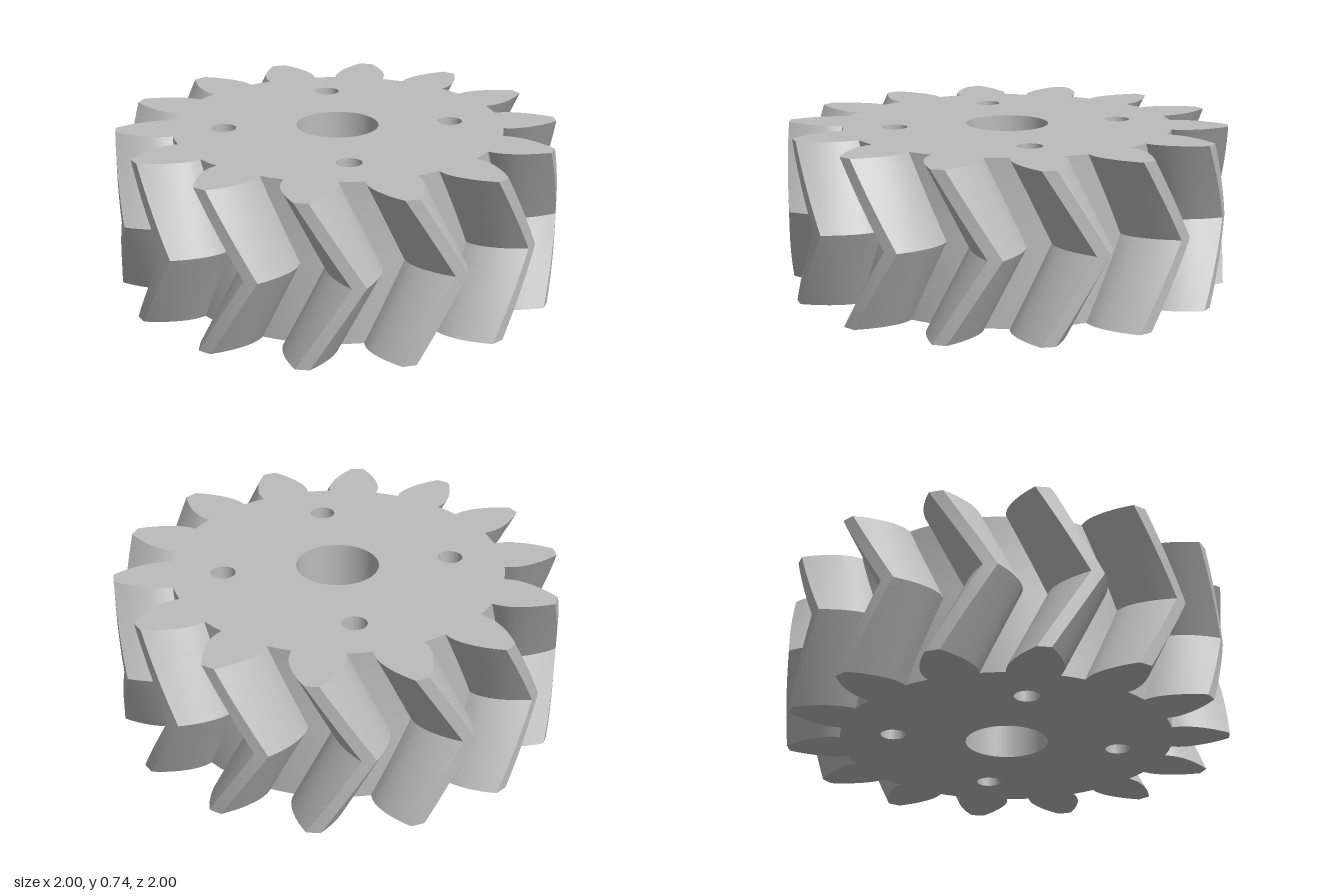
import * as THREE from 'three';
import { toCreasedNormals } from 'three/addons/utils/BufferGeometryUtils.js';

const TEETH = 14, HEIGHT = 0.735;
const ROOT = 0.75, BASE = 0.785, TIP = 1;
const DEG = Math.PI / 180;
const PITCH = 2 * Math.PI / TEETH;
const HALF_BASE = 8.7 * DEG;   // half the tooth angle at the base circle
const PHASE = 0.4 * DEG;       // rotation of the end faces
const TWIST = 13.4 * DEG;      // helix rotation from an end face to mid-height

// half the tooth angle at radius r, along an involute flank
function halfAngle(r) {
  if (r <= BASE) return HALF_BASE;
  const a = Math.acos(BASE / r);
  return HALF_BASE - (Math.tan(a) - a);
}

function gearShape() {
  const points = [];
  const add = (r, t) => points.push(new THREE.Vector2(r * Math.sin(t), -r * Math.cos(t)));
  const radii = [ROOT, BASE];
  for (let i = 1; i <= 8; i++) radii.push(BASE + (TIP - BASE) * i / 8);
  for (let k = 0; k < TEETH; k++) {
    const c = PHASE + k * PITCH;
    radii.forEach(r => add(r, c - halfAngle(r)));              // rising flank
    add(TIP, c);                                               // tip land
    [...radii].reverse().forEach(r => add(r, c + halfAngle(r))); // falling flank
    add(ROOT, c + PITCH / 2);                                  // root land
  }
  const shape = new THREE.Shape(points);

  // shaft bore and four through holes
  const hole = (x, y, r) => shape.holes.push(new THREE.Path().absarc(x, y, r, 0, 2 * Math.PI, true));
  hole(0, 0, 0.186);
  for (let i = 0; i < 4; i++) {
    const a = 40 * DEG + i * Math.PI / 2;
    hole(0.515 * Math.cos(a), 0.515 * Math.sin(a), 0.056);
  }
  return shape;
}

export function createModel() {
  const group = new THREE.Group();
  group.name = 'herringboneGear';
  const metal = new THREE.MeshStandardMaterial({ color: 0xbcbcbc });
  metal.name = 'grey metal';

  const geometry = new THREE.ExtrudeGeometry(gearShape(), {
    depth: HEIGHT, steps: 16, bevelEnabled: false, curveSegments: 40,
  });

  // twist the toothed rim one way up to mid-height, then back; holes stay straight
  const p = geometry.attributes.position;
  for (let i = 0; i < p.count; i++) {
    const x = p.getX(i), y = p.getY(i);
    if (Math.hypot(x, y) < 0.65) continue;
    const a = TWIST * (1 - Math.abs(2 * p.getZ(i) / HEIGHT - 1));
    p.setXY(i, x * Math.cos(a) - y * Math.sin(a), x * Math.sin(a) + y * Math.cos(a));
  }
  geometry.rotateX(-Math.PI / 2);

  const gear = new THREE.Mesh(toCreasedNormals(geometry, 0.5), metal);
  gear.name = 'gearWheel';
  group.add(gear);
  return group;
}
